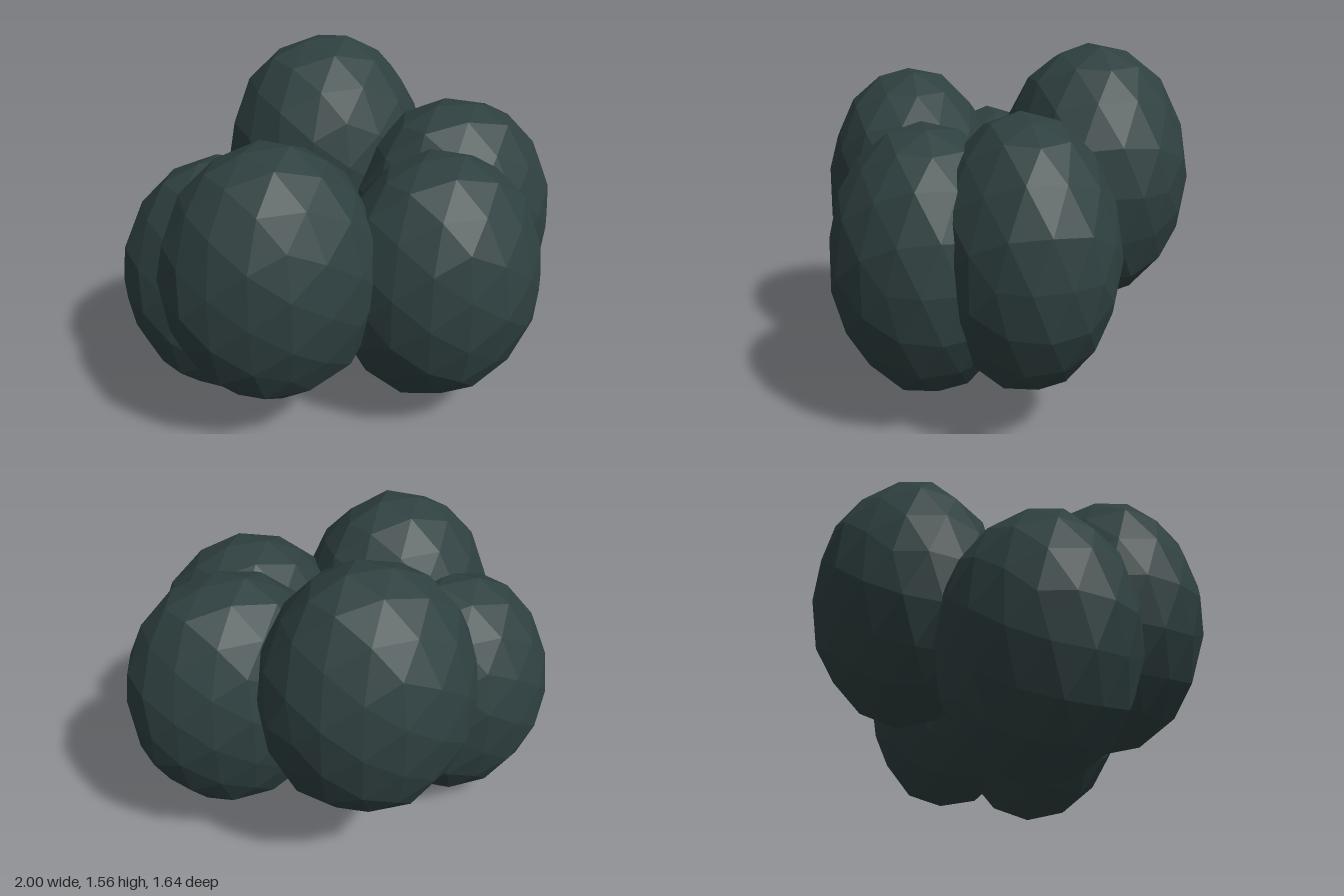
import * as THREE from 'three';

// Faceted egg-shaped lobe with a slight uneven surface
function lobeGeometry(rx, ry, rz, seed) {
  const geometry = new THREE.IcosahedronGeometry(1, 2);
  const pos = geometry.attributes.position;
  const v = new THREE.Vector3();
  for (let i = 0; i < pos.count; i++) {
    v.fromBufferAttribute(pos, i);
    // Depends only on position, so shared corners stay together
    const bump = 1 + 0.012 * Math.sin(v.x * 7 + seed) * Math.sin(v.y * 6 + seed * 2) +
      0.01 * Math.sin(v.z * 9 + seed * 3);
    pos.setXYZ(i, v.x * rx * bump, v.y * ry * bump, v.z * rz * bump);
  }
  geometry.computeVertexNormals();
  return geometry;
}

export function createModel() {
  const model = new THREE.Group();
  model.name = 'lobeCluster';

  const darkGreen = new THREE.MeshStandardMaterial({ color: 0x2f4040, flatShading: true });
  darkGreen.name = 'darkSlateGreen';

  // name, centre, radii: five overlapping lobes in a ring
  const lobes = [
    ['frontRightLobe', [-0.40, 0.82, 0.375], [0.475, 0.59, 0.413]],
    ['frontLeftLobe', [0.33, 0.71, 0.41], [0.468, 0.59, 0.413]],
    ['backLobe', [0.04, 0.97, -0.40], [0.475, 0.595, 0.428]],
    ['leftLobe', [0.53, 0.775, 0.03], [0.478, 0.587, 0.397]],
    ['rightLobe', [-0.53, 0.585, -0.04], [0.478, 0.592, 0.415]],
  ];

  lobes.forEach(([name, centre, radii], i) => {
    const lobe = new THREE.Mesh(lobeGeometry(...radii, i + 1), darkGreen);
    lobe.name = name;
    lobe.position.set(...centre);
    model.add(lobe);
  });

  return model;
}
